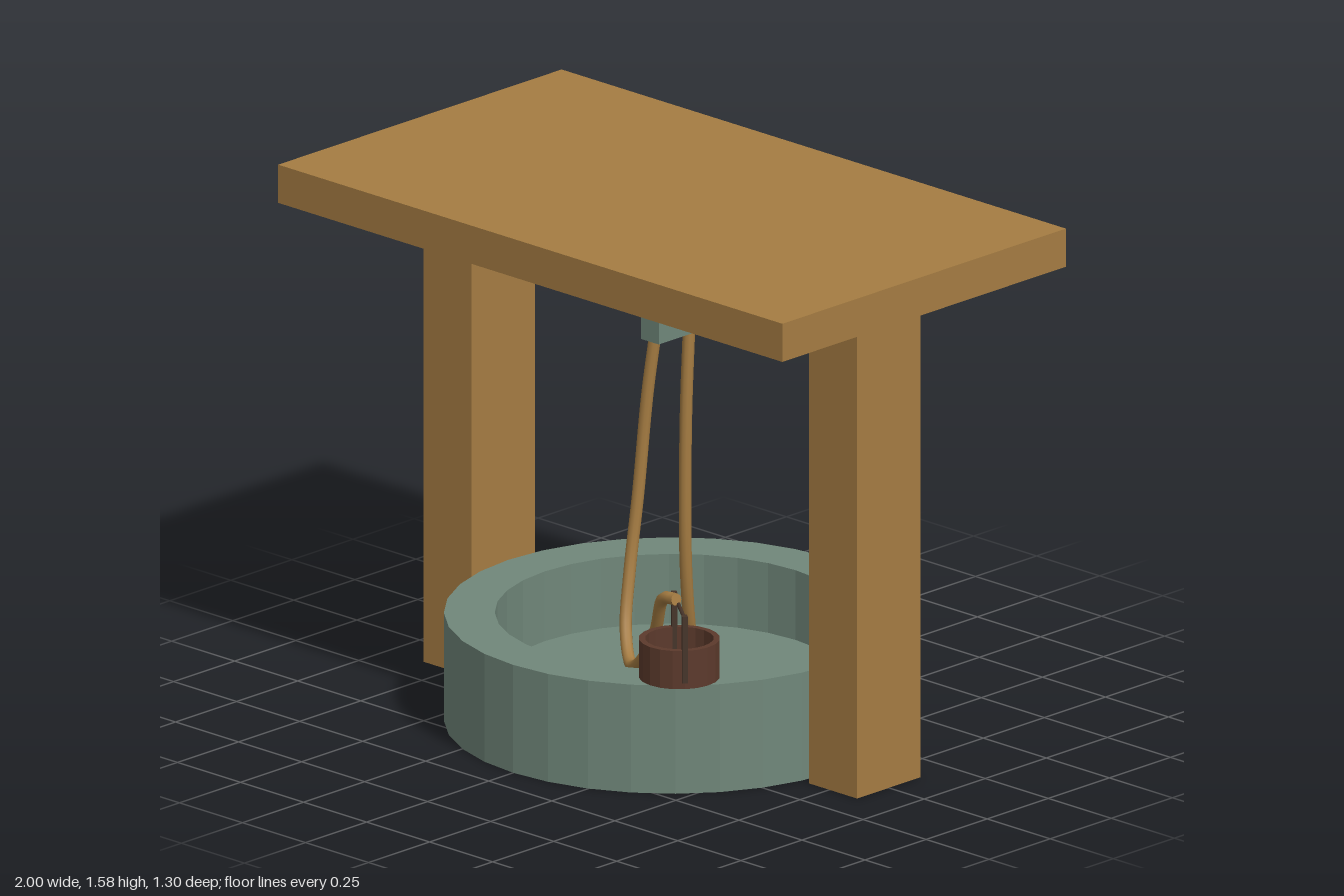
import * as THREE from 'three';

const material = (name, color) => {
  const m = new THREE.MeshStandardMaterial({ color });
  m.name = name;
  return m;
};

export function createModel() {
  const wood = material('wood', 0xa57c42);
  const stone = material('mossy stone', 0x70877a);
  const bucketWood = material('dark bucket wood', 0x5c3a2c);
  const handleWood = material('handle brown', 0x47352a);

  const well = new THREE.Group();
  well.name = 'well';

  const add = (parent, name, geometry, mat, x = 0, y = 0, z = 0) => {
    const mesh = new THREE.Mesh(geometry, mat);
    mesh.name = name;
    mesh.position.set(x, y, z);
    parent.add(mesh);
    return mesh;
  };
  const box = (w, h, d) => new THREE.BoxGeometry(w, h, d);

  // Faceted turned shape from [radius, height] pairs
  const facetedLathe = (profile, segments) => {
    const points = profile.map(([r, y]) => new THREE.Vector2(r, y));
    const geometry = new THREE.LatheGeometry(points, segments).toNonIndexed();
    geometry.computeVertexNormals();
    return geometry;
  };

  // Rope through a few points, with closed ends
  const addRope = (name, coords, segments) => {
    const points = coords.map((p) => new THREE.Vector3(...p));
    const curve = new THREE.CatmullRomCurve3(points);
    const radius = 0.018;
    const rope = new THREE.Group();
    rope.name = name;
    add(rope, 'ropeStrand', new THREE.TubeGeometry(curve, segments, radius, 10), wood);
    for (const t of [0, 1]) {
      const cap = add(rope, 'ropeEnd', new THREE.CircleGeometry(radius, 10), wood, ...curve.getPoint(t));
      const outward = curve.getTangent(t).multiplyScalar(t ? 1 : -1);
      cap.quaternion.setFromUnitVectors(new THREE.Vector3(0, 0, 1), outward);
    }
    well.add(rope);
  };

  // Round basin with a hollow and a floor
  add(well, 'basin', facetedLathe(
    [[0, 0], [0.65, 0], [0.65, 0.325], [0.505, 0.325], [0.505, 0.115], [0, 0.115]], 32), stone);

  // Posts and flat roof
  for (const side of [-1, 1]) {
    add(well, side > 0 ? 'leftPost' : 'rightPost', box(0.19, 1.46, 0.26), wood, side * 0.765, 0.73, 0);
  }
  add(well, 'roof', box(2, 0.115, 1.16), wood, 0, 1.5175, 0);

  // Pulley block: an arched plate hung from a stem
  const arch = new THREE.Shape([
    [-0.09, 1.16], [0.09, 1.16], [0.09, 1.29], [0.065, 1.345], [0.03, 1.385],
    [-0.03, 1.385], [-0.065, 1.345], [-0.09, 1.29],
  ].map(([z, y]) => new THREE.Vector2(z, y)));
  const blockGeometry = new THREE.ExtrudeGeometry(arch, { depth: 0.07, bevelEnabled: false });
  blockGeometry.translate(0, 0, -0.035).rotateY(Math.PI / 2);
  add(well, 'pulleyBlock', blockGeometry, stone);
  add(well, 'pulleyStem', box(0.038, 0.09, 0.038), stone, 0, 1.42, 0);

  // Front rope sags into the basin and rises to the bucket; the back rope hangs free
  addRope('bucketRope', [
    [0, 1.17, 0.07], [-0.015, 1.0, 0.085], [-0.026, 0.7, 0.112], [-0.018, 0.48, 0.155],
    [0.02, 0.33, 0.21], [0.1, 0.255, 0.27], [0.2, 0.32, 0.315], [0.27, 0.42, 0.345],
    [0.335, 0.54, 0.38], [0.395, 0.552, 0.39],
  ], 60);
  addRope('hangingRope', [
    [0, 1.17, -0.07], [0.002, 0.9, -0.055], [0, 0.5, -0.055], [-0.012, 0.3, -0.08], [-0.035, 0.16, -0.12],
  ], 30);

  // Bucket on the rim
  const bucket = new THREE.Group();
  bucket.name = 'bucket';
  bucket.position.set(0.412, 0.327, 0.395);
  bucket.rotation.y = -Math.atan2(0.07, 0.09);
  add(bucket, 'bucketTub', facetedLathe(
    [[0, 0], [0.116, 0], [0.116, 0.115], [0.098, 0.115], [0.098, 0.02], [0, 0.02]], 20), bucketWood);

  // Handle: two uprights and a thin crossbar
  for (const side of [-1, 1]) {
    add(bucket, 'handleUpright', box(0.02, 0.2, 0.016), handleWood, side * 0.107, 0.118, 0);
  }
  const bar = add(bucket, 'handleBar', new THREE.CylinderGeometry(0.006, 0.006, 0.22, 8), handleWood, 0, 0.21, 0);
  bar.rotation.z = Math.PI / 2;
  well.add(bucket);

  return well;
}
